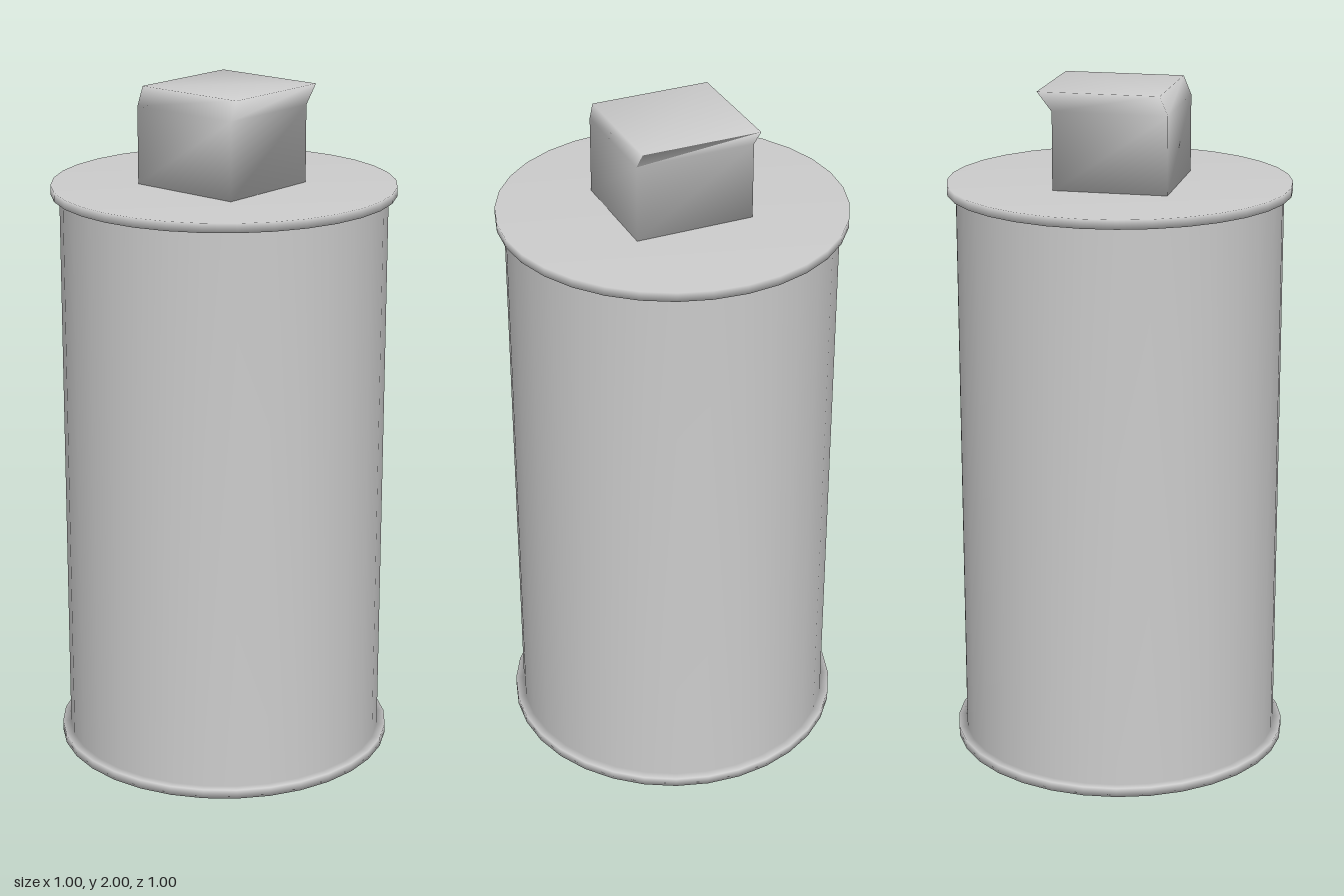
import * as THREE from 'three';
import { mergeVertices } from 'three/addons/utils/BufferGeometryUtils.js';

const material = new THREE.MeshStandardMaterial({ color: 0xcccccc });

function addPart(group, name, geometry) {
  const mesh = new THREE.Mesh(geometry, material);
  mesh.name = name;
  group.add(mesh);
}

// Closed can turned from one profile, with a thin lip at each end
function canGeometry() {
  const wall = 0.475, lip = 0.5, lipHeight = 0.027, top = 1.72;
  const profile = [
    [0, 0], [lip, 0], [lip, lipHeight], [wall, lipHeight],
    [wall, top - lipHeight], [lip, top - lipHeight], [lip, top], [0, top],
  ].map(([r, y]) => new THREE.Vector2(r, y));
  return new THREE.LatheGeometry(profile, 32);
}

// Square nozzle whose top slants backwards: bevelled front, overhanging back
function nozzleGeometry() {
  const levels = [
    { y: 1.72, front: 0.175, back: -0.157 },
    { y: 1.945, front: 0.175, back: -0.157 },
    { y: 2, front: 0.152, back: -0.2 },
  ];
  const box = new THREE.BoxGeometry(0.35, 2, 2, 1, 2, 1);
  const pos = box.attributes.position;
  for (let i = 0; i < pos.count; i++) {
    const level = levels[Math.round(pos.getY(i)) + 1];
    pos.setY(i, level.y);
    pos.setZ(i, pos.getZ(i) > 0 ? level.front : level.back);
  }
  // Weld the corners so the shading runs smoothly over the edges
  box.deleteAttribute('normal');
  box.deleteAttribute('uv');
  const welded = mergeVertices(box);
  welded.computeVertexNormals();
  return welded;
}

export function createModel() {
  const group = new THREE.Group();
  group.name = 'sprayCan';
  addPart(group, 'canBody', canGeometry());
  addPart(group, 'nozzle', nozzleGeometry());
  return group;
}
